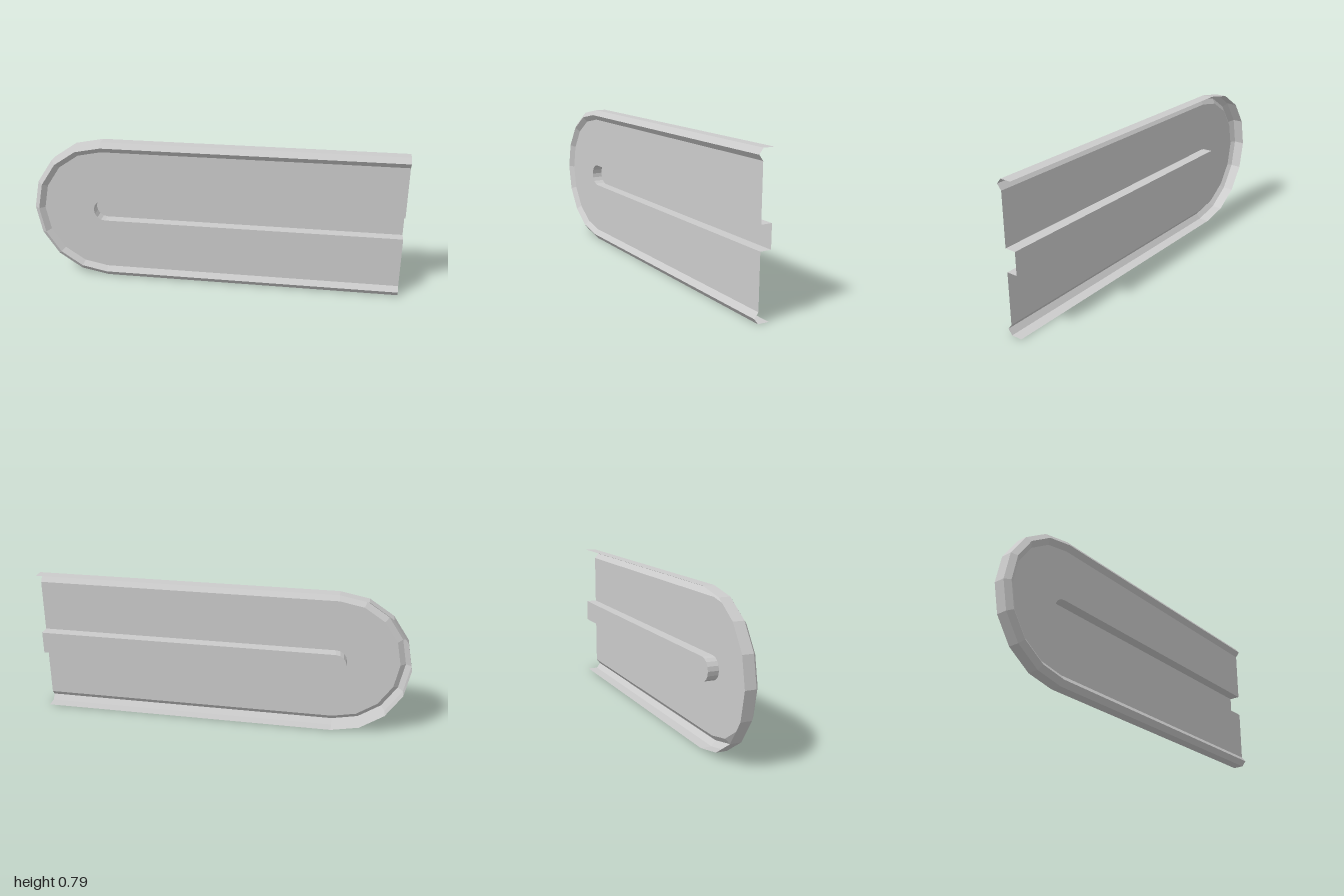
import * as THREE from 'three';

const CX = -0.607, CY = 0.393, END = 1;
const FRONT = 0.018, BACK = -0.04, CREST = 0.04;
const R_OUT = 0.393, R_CREST = 0.365, R_IN = 0.337, R_SLOT = 0.06;

const material = new THREE.MeshStandardMaterial({ color: 0xcccccc, flatShading: true, side: THREE.DoubleSide });

// U-shaped outline: straight top edge, eight-sided half circle, straight bottom edge
function outline(r) {
  const pts = [new THREE.Vector2(END, CY + r)];
  for (let i = 0; i <= 8; i++) {
    const a = Math.PI / 2 + (i / 8) * Math.PI;
    pts.push(new THREE.Vector2(CX + r * Math.cos(a), CY + r * Math.sin(a)));
  }
  pts.push(new THREE.Vector2(END, CY - r));
  return pts;
}

// Sheet swept along the U through a list of [radius, z] profile points
function sweep(name, profile) {
  const rows = profile.map(([r, z]) => outline(r).map(p => [p.x, p.y, z]));
  const pos = [];
  for (let j = 0; j < rows.length - 1; j++) {
    for (let i = 0; i < rows[j].length - 1; i++) {
      const a = rows[j][i], b = rows[j][i + 1], c = rows[j + 1][i + 1], d = rows[j + 1][i];
      pos.push(...a, ...b, ...c, ...a, ...c, ...d);
    }
  }
  const g = new THREE.BufferGeometry();
  g.setAttribute('position', new THREE.Float32BufferAttribute(pos, 3));
  g.computeVertexNormals();
  return named(name, g);
}

// Flat sheet at depth z
function sheet(name, points, z) {
  return named(name, new THREE.ShapeGeometry(new THREE.Shape(points)).translate(0, 0, z));
}

function named(name, geometry) {
  const mesh = new THREE.Mesh(geometry, material);
  mesh.name = name;
  return mesh;
}

export function createModel() {
  const group = new THREE.Group();
  group.name = 'ribbedPanel';
  // Outer wall with raised, ridged rim
  group.add(sweep('rim', [[R_OUT, BACK], [R_OUT, FRONT], [R_CREST, CREST], [R_IN, FRONT]]));
  // Face plate around the open-ended slot
  group.add(sheet('facePlate', [...outline(R_IN), ...outline(R_SLOT).reverse()], FRONT));
  // Recessed slot
  group.add(sweep('slotWall', [[R_SLOT, BACK], [R_SLOT, FRONT]]));
  group.add(sheet('slotFloor', outline(R_SLOT), BACK));
  return group;
}
